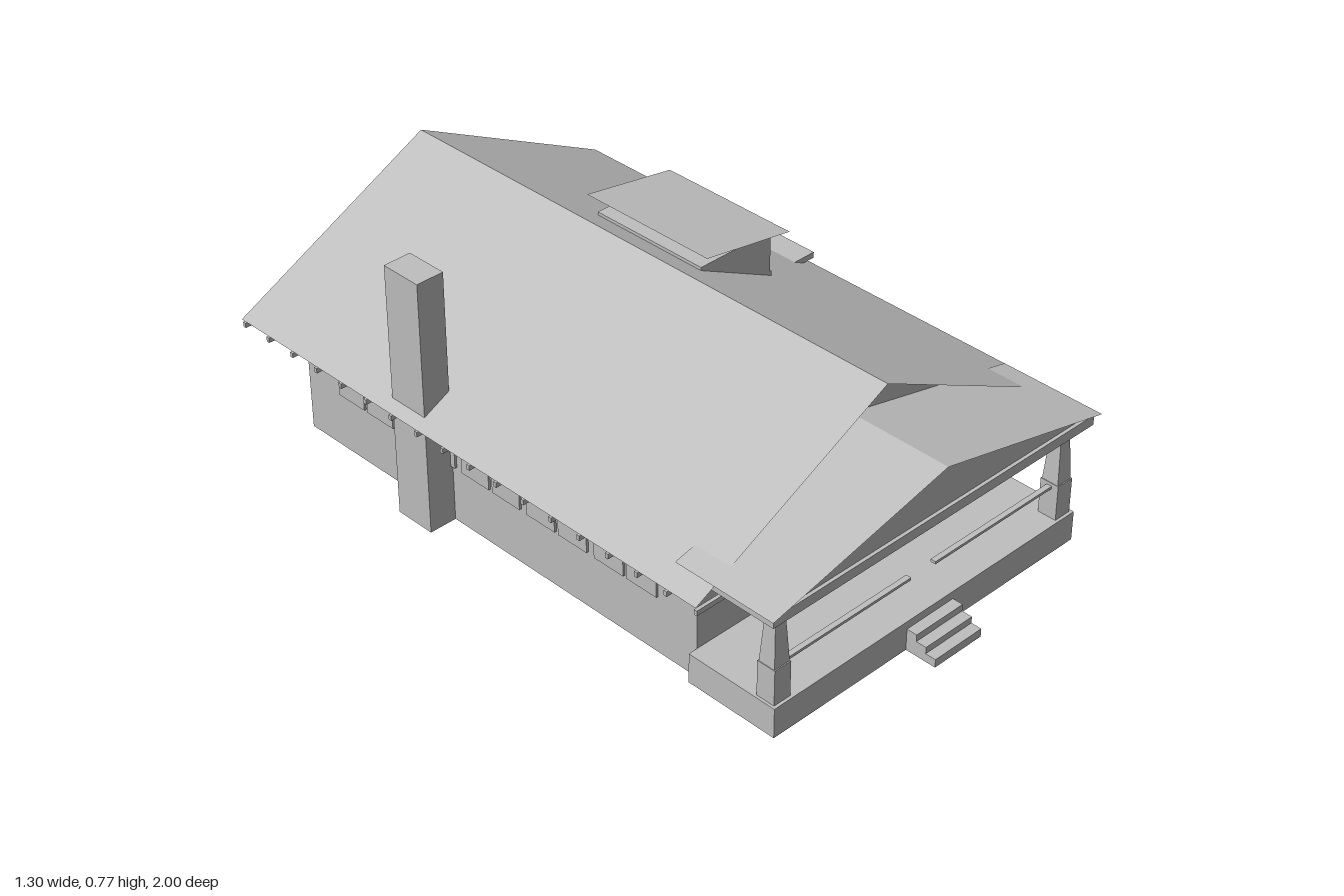
import * as THREE from 'three';

export function createModel() {
  const house = new THREE.Group();
  house.name = 'bungalow';
  const grey = new THREE.MeshStandardMaterial({ color: 0xbfbfbf, side: THREE.DoubleSide });
  grey.name = 'plain grey';

  const add = (name, geometry) => {
    const mesh = new THREE.Mesh(geometry, grey);
    mesh.name = name;
    house.add(mesh);
    return mesh;
  };
  // box given by its two extreme corners; open drops the bottom face
  const box = (name, x0, x1, y0, y1, z0, z1, open = false) => {
    const g = new THREE.BoxGeometry(x1 - x0, y1 - y0, z1 - z0);
    if (open) {
      const index = Array.from(g.index.array);
      index.splice(18, 6);
      g.setIndex(index);
      g.clearGroups();
    }
    g.translate((x0 + x1) / 2, (y0 + y1) / 2, (z0 + z1) / 2);
    return add(name, g);
  };
  // flat panel in the xy plane
  const panel = (name, points, z) => {
    const shape = new THREE.Shape(points.map(([x, y]) => new THREE.Vector2(x, y)));
    return add(name, new THREE.ShapeGeometry(shape).translate(0, 0, z));
  };
  // thin sheet sloping from (xa, ya) to (xb, yb), running from z0 to z1
  const sheet = (name, xa, ya, xb, yb, z0, z1) => {
    const g = new THREE.BufferGeometry();
    g.setAttribute('position', new THREE.Float32BufferAttribute(
      [xa, ya, z0, xa, ya, z1, xb, yb, z1, xb, yb, z0], 3));
    g.setIndex(xb > xa ? [0, 1, 2, 0, 2, 3] : [0, 2, 1, 0, 3, 2]);
    g.computeVertexNormals();
    return add(name, g);
  };

  // house walls, open underneath
  const W = 0.53, front = 0.615, back = -0.88, eave = 0.404;
  for (const z of [front, back]) {
    const wall = panel('gableWall', [[-W, 0], [W, 0], [W, eave], [0, 0.668], [-W, eave]], z);
    if (z === back) {
      wall.rotation.y = Math.PI;
      wall.geometry.translate(0, 0, -2 * back);
    }
  }
  for (const s of [-1, 1]) {
    const g = new THREE.PlaneGeometry(front - back, eave);
    g.rotateY(s * Math.PI / 2).translate(s * W, eave / 2, (front + back) / 2);
    add('sideWall', g);
  }

  // main and porch roofs
  for (const s of [-1, 1]) {
    sheet('mainRoof', 0, 0.674, s * 0.65, 0.349, -1, 0.73);
    sheet('porchRoof', 0, 0.532, s * 0.6, 0.392, 0.61, 0.933);
  }

  // rafter tails under the eaves and beams on the rear gable
  for (const s of [-1, 1]) {
    for (let i = 0; i < 18; i++) {
      const z = 0.727 - i * 0.1012;
      const [a, b] = [s * W, s * 0.648].sort((p, q) => p - q);
      box('rafterTail', a, b, 0.325, 0.34, z - 0.005, z + 0.005);
    }
    box('gableBeam', s * 0.32 - 0.008, s * 0.32 + 0.008, 0.385, 0.402, -0.98, back);
  }

  // paired windows on all four sides
  const T = 0.007;
  for (const start of [-0.387, -0.115, 0.16]) {
    for (const x of [start, start + 0.121]) {
      for (const z of [front, back]) box('window', x, x + 0.104, 0.175, 0.338, z - T, z + T);
    }
  }
  for (let i = 0; i < 5; i++) {
    for (const z of [0.48 - i * 0.25, 0.362 - i * 0.25]) {
      for (const x of [-W, W]) box('window', x - T, x + T, 0.175, 0.34, z - 0.105, z);
    }
  }
  for (const x of [-0.275, 0, 0.273]) {
    box('flowerBox', x - 0.126, x + 0.126, 0.157, 0.175, front, 0.645);
  }

  // porch base, ceiling and pediment
  box('porchBase', -0.558, 0.558, 0, 0.09, front, 0.904, true);
  box('porchBeam', -0.585, 0.585, 0.36, 0.39, 0.62, 0.92);
  panel('porchPediment', [[-0.585, 0.39], [0.585, 0.39], [W, 0.405], [0, 0.526], [-W, 0.405]], 0.91);

  // piers, tapered columns and rails
  for (const s of [-1, 1]) {
    const x = s * 0.522, z = 0.866;
    box('pier', x - 0.028, x + 0.028, 0.09, 0.197, z - 0.029, z + 0.029);
    const column = new THREE.CylinderGeometry(0.016 * Math.SQRT2, 0.026 * Math.SQRT2, 0.163, 4);
    add('column', column.rotateY(Math.PI / 4).toNonIndexed().translate(x, 0.2785, z))
      .geometry.computeVertexNormals();
    const [a, b] = [s * 0.045, s * 0.494].sort((p, q) => p - q);
    box('rail', a, b, 0.18, 0.188, z - 0.008, z + 0.008);
  }

  // front steps
  [[0.025, 1], [0.045, 0.968], [0.066, 0.936]].forEach(([y, z]) =>
    box('step', -0.086, 0.086, y - 0.025, y, 0.904, z));

  // chimney
  box('chimney', -0.615, -0.53, 0, 0.768, -0.413, -0.286, true);

  // side bay with its roof, window and base slab
  box('bay', W, 0.624, 0.1, 0.37, -0.46, -0.134);
  box('bayBase', W, 0.632, 0.093, 0.108, -0.46, -0.13);
  box('bayRoof', 0.565, 0.648, 0.37, 0.388, -0.475, -0.117);
  box('baySill', 0.62, 0.631, 0.16, 0.17, -0.42, -0.17);
  box('bayWindow', 0.62, 0.628, 0.17, 0.33, -0.41, -0.18);

  // roof dormer
  box('dormer', 0.087, 0.345, 0.495, 0.64, -0.383, 0.005);
  sheet('dormerRoof', 0.077, 0.685, 0.383, 0.635, -0.413, 0.037);
  box('dormerSill', 0.34, 0.352, 0.498, 0.513, -0.383, 0.005);

  return house;
}
